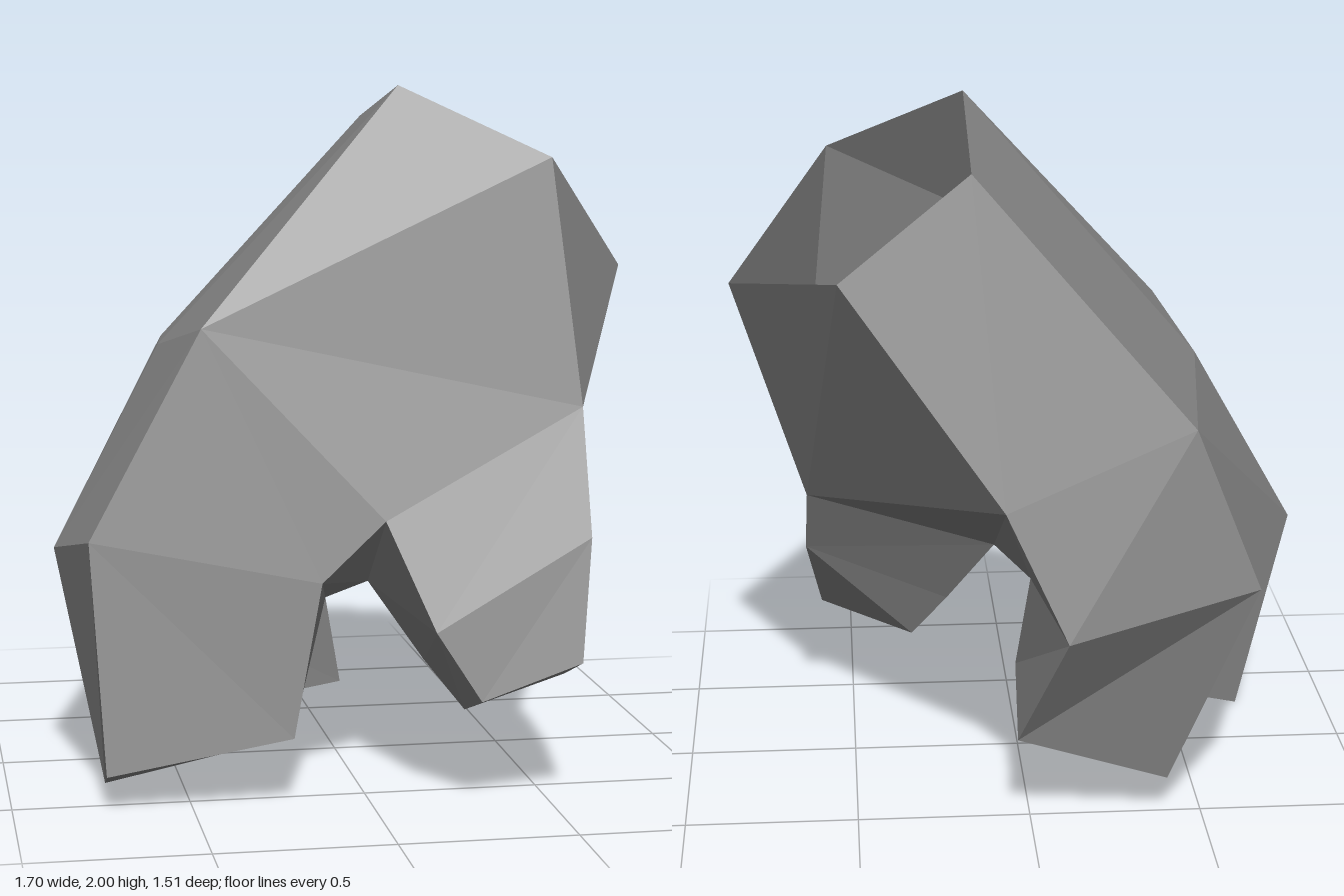
import * as THREE from 'three';

// Corner points, grouped by region
const P = {
  // open collar
  A: [0.145, 2, 0.225], B: [0.55, 1.8, 0.425], C: [0.845, 1.465, 0.08], D: [0.53, 1.61, -0.525], E: [0.158, 1.895, -0.453],
  // shoulders
  F1: [-0.45, 1.33, 0.42], F2: [-0.53, 1.245, 0.02], F3: [-0.455, 1.2, -0.61],
  N1: [0.615, 1.105, 0.55], G: [0.632, 0.783, 0.135], W2: [0.08, 0.99, -0.675],
  // roots of the three toes
  L1: [-0.85, 0.675, 0.15], L2: [-0.775, 0.745, 0.475], K1: [-0.135, 0.63, 0.585], K2: [0.045, 0.8, 0.585],
  S1: [0.055, 0.565, 0.25], U1: [-0.05, 0.495, 0.13], W1: [-0.09, 0.63, -0.755], W3: [-0.64, 0.735, -0.635],
  // right toe tip
  P1: [-0.74, 0.1, 0.574], P2: [-0.22, 0.2, 0.62], P3: [-0.72, 0, 0.27], P4: [-0.17, 0.113, 0.267],
  // left toe knuckle and tip
  M1: [0.61, 0.755, 0.685], T: [0.165, 0.505, 0.71], R1: [0.64, 0.575, 0.25], S2: [0.2, 0.35, 0.36],
  Q1: [0.57, 0.415, 0.755], Q2: [0.285, 0.315, 0.75], Q3: [0.595, 0.315, 0.457], Q4: [0.31, 0.21, 0.415],
  // back toe tip
  V1: [0, 0.23, 0.09], V2: [0.04, 0.27, -0.575], V3: [-0.4, 0.11, -0.515], V4: [-0.52, 0.14, 0.085],
};

// Outward facing polygons of each part, corners counter-clockwise
const PARTS = {
  body: [
    'A F1 B', 'B F1 N1', 'F1 K2 N1', 'F1 K1 K2', 'F1 L2 K1',       // front
    'B N1 C', 'N1 G C', 'D C G W2', 'G S1 W2', 'S1 U1 W2', 'W2 U1 W1', // left side
    'E D W2 F3', 'F3 W2 W1 W3',                                    // back
    'A E F2', 'E F3 F2', 'A F2 F1', 'L1 F2 F3 W3', 'L1 L2 F1 F2',  // right side
    'K1 U1 S1 K2',                                                 // underside
  ],
  rightToe: ['L2 P1 P2 K1', 'K1 P2 P4 U1', 'L1 U1 P4 P3', 'L2 L1 P3 P1', 'P1 P3 P4 P2'],
  leftToe: [
    'N1 K2 T M1', 'M1 T Q2 Q1', 'N1 M1 G', 'M1 R1 G', 'M1 Q1 Q3 R1',
    'K2 S1 T', 'S1 S2 T', 'T S2 Q4 Q2', 'G R1 S1', 'R1 S2 S1', 'R1 Q3 Q4 S2', 'Q1 Q2 Q4 Q3',
  ],
  backToe: ['W1 U1 V1 V2', 'L1 V4 V1 U1', 'W3 V3 V4 L1', 'W3 W1 V2 V3', 'V1 V4 V3 V2'],
};

// Splits each polygon into a fan of flat triangles
function facetGeometry(faces) {
  const positions = [];
  for (const face of faces) {
    const corners = face.split(' ').map((name) => P[name]);
    for (let i = 1; i < corners.length - 1; i++) {
      positions.push(...corners[0], ...corners[i], ...corners[i + 1]);
    }
  }
  const geometry = new THREE.BufferGeometry();
  geometry.setAttribute('position', new THREE.Float32BufferAttribute(positions, 3));
  geometry.computeVertexNormals();
  return geometry;
}

export function createModel() {
  const group = new THREE.Group();
  group.name = 'threeToedFoot';
  // The shell is open at the collar, so its inside shows
  const material = new THREE.MeshStandardMaterial({ color: 0x888888, flatShading: true, side: THREE.DoubleSide });
  for (const [name, faces] of Object.entries(PARTS)) {
    const mesh = new THREE.Mesh(facetGeometry(faces), material);
    mesh.name = name;
    group.add(mesh);
  }
  return group;
}
